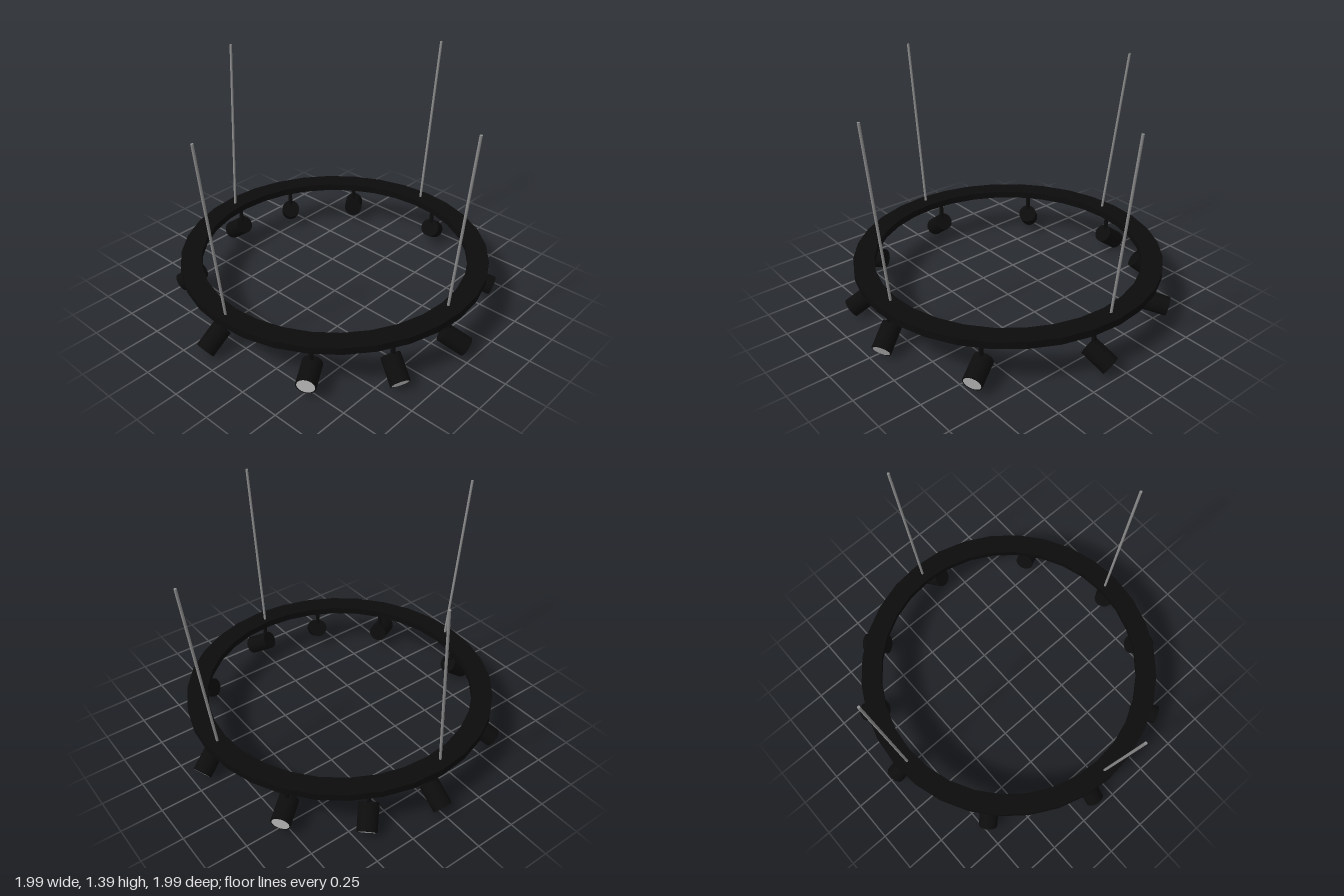
import * as THREE from 'three';

const black = new THREE.MeshStandardMaterial({ color: 0x0c0c0c });
const blackFlat = new THREE.MeshStandardMaterial({ color: 0x0c0c0c, flatShading: true });
const steel = new THREE.MeshStandardMaterial({ color: 0x8c8c8c });
const lens = new THREE.MeshStandardMaterial({ color: 0xcccccc });

const UP = new THREE.Vector3(0, 1, 0);

function addMesh(parent, name, geometry, material) {
  const mesh = new THREE.Mesh(geometry, material);
  mesh.name = name;
  parent.add(mesh);
  return mesh;
}

// Straight round bar between two points
function addBar(parent, name, from, to, radius, material) {
  const a = new THREE.Vector3(...from), b = new THREE.Vector3(...to);
  const bar = addMesh(parent, name, new THREE.CylinderGeometry(radius, radius, a.distanceTo(b), 10), material);
  bar.position.lerpVectors(a, b, 0.5);
  bar.quaternion.setFromUnitVectors(UP, b.sub(a).normalize());
}

// Spotlight: post under the ring and a tilted can with a pale lens at its outer end
function makeSpotlight(x, z, aim) {
  const spot = new THREE.Group();
  spot.name = 'spotlight';
  const pivotY = 0.127, radius = 0.058, length = 0.16;
  addBar(spot, 'post', [x, 0.285, z], [x, pivotY, z], 0.013, black);

  const head = new THREE.Group();
  head.name = 'lampHead';
  const dir = new THREE.Vector3(...aim).normalize();
  head.position.set(x, pivotY, z).addScaledVector(dir, 0.045);
  head.quaternion.setFromUnitVectors(UP, dir);
  addMesh(head, 'can', new THREE.CylinderGeometry(radius, radius, length, 24), black);
  const disc = addMesh(head, 'lens', new THREE.CircleGeometry(0.051, 24), lens);
  disc.rotation.x = -Math.PI / 2;
  disc.position.y = length / 2 + 0.001;
  spot.add(head);
  return spot;
}

export function createModel() {
  const model = new THREE.Group();
  model.name = 'ringChandelier';

  // Ring with a rectangular section
  const inner = 0.805, outer = 0.93, low = 0.282, high = 0.325;
  const section = [[inner, low], [outer, low], [outer, high], [inner, high], [inner, low]];
  addMesh(model, 'ring', new THREE.LatheGeometry(section.map(p => new THREE.Vector2(...p)), 32), blackFlat);

  // Spotlights: x and z of the post, then aiming direction
  const spots = [
    [0, -0.86, [0, -0.6, -0.8]],
    [0.38, -0.77, [0.54, -0.6, -0.59]],
    [0.715, -0.475, [0.77, -0.22, -0.6]],
    [0.85, 0.11, [0.78, -0.56, -0.3]],
    [0.56, 0.65, [0.45, -0.33, 0.83]],
    [0, 0.86, [0.43, -0.52, 0.74]],
    [-0.38, 0.77, [-0.36, -0.56, 0.74]],
    [-0.71, 0.48, [-0.85, -0.18, 0.5]],
    [-0.85, -0.107, [-0.8, -0.6, -0.06]],
    [-0.56, -0.65, [-0.54, -0.6, -0.59]],
  ];
  for (const [x, z, aim] of spots) model.add(makeSpotlight(x, z, aim));

  // Suspension rods, leaning outward
  const rods = [
    [[-0.875, 0.31, 0], [-0.99, 1.39, 0]],
    [[0.86, 0.31, 0], [0.985, 1.39, 0]],
    [[0.005, 0.31, 0.842], [0.005, 1.39, 0.945]],
    [[-0.047, 0.31, -0.86], [0.055, 1.39, -0.92]],
  ];
  for (const [from, to] of rods) addBar(model, 'suspensionRod', from, to, 0.008, steel);

  return model;
}
